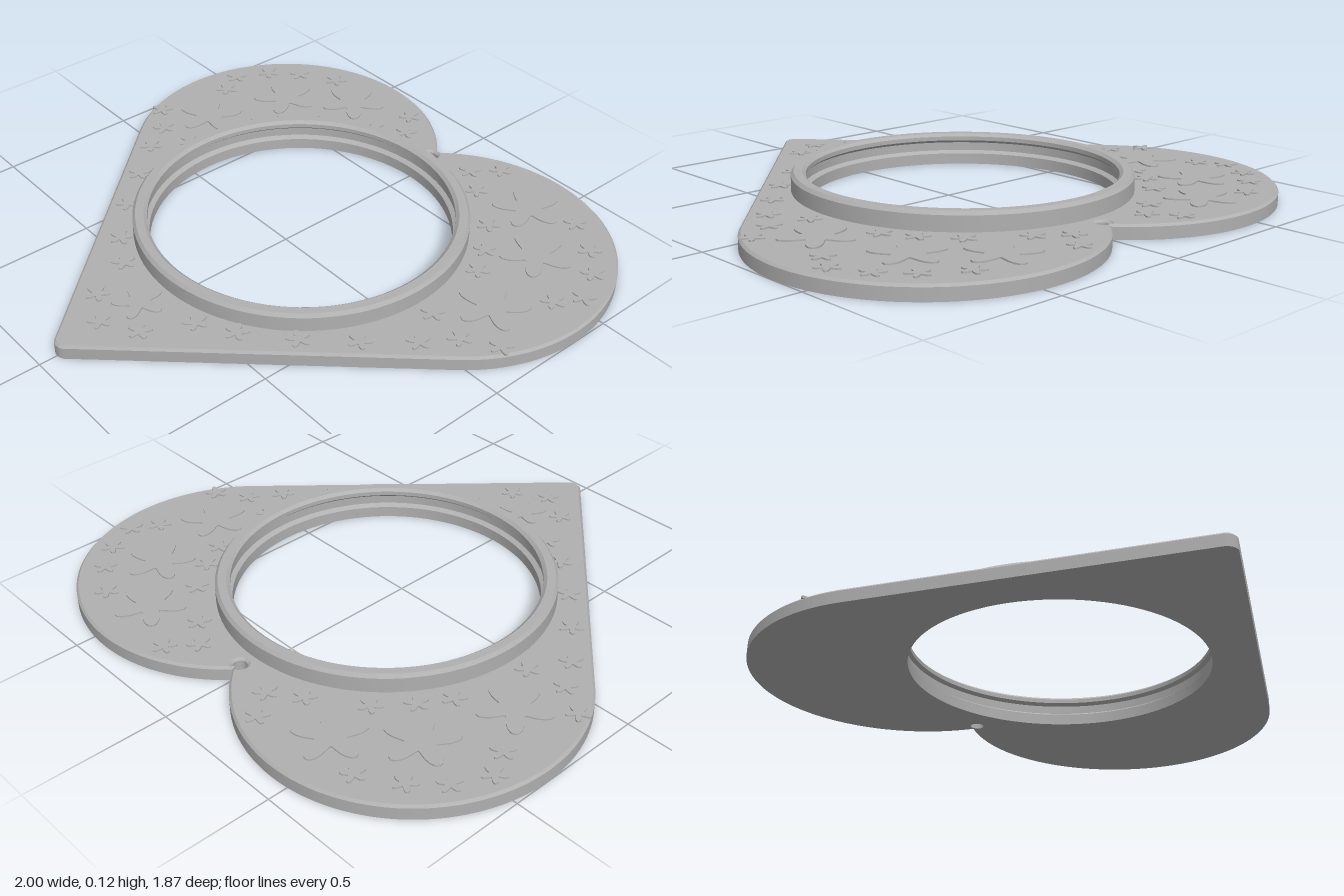
import * as THREE from 'three';
import { toCreasedNormals } from 'three/addons/utils/BufferGeometryUtils.js';

const RING_Z = -0.07;

export function createModel() {
  const group = new THREE.Group();
  const grey = new THREE.MeshStandardMaterial({ color: 0xb0b0b0 });
  grey.name = 'grey';

  const add = (name, geometry, x = 0, y = 0, z = 0) => {
    const mesh = new THREE.Mesh(toCreasedNormals(geometry, 0.5), grey);
    mesh.name = name;
    mesh.position.set(x, y, z);
    group.add(mesh);
  };

  // Heart outline: two round lobes and straight sides down to a blunt tip (shape y = -z)
  const lobeX = 0.43, lobeY = 0.365, lobeR = 0.57;
  const tangent = 0.738, cusp = Math.acos(lobeX / lobeR);
  const heart = new THREE.Shape();
  heart.moveTo(0.025, -0.927);
  heart.absarc(lobeX, lobeY, lobeR, -tangent, Math.PI - cusp, false);
  heart.absarc(-lobeX, lobeY, lobeR, cusp, Math.PI + tangent, false);
  heart.lineTo(-0.025, -0.927);
  heart.quadraticCurveTo(0, -0.943, 0.025, -0.927);

  // Round opening under the ring, and the hanging hole below the notch
  const opening = new THREE.Path().absarc(0, -RING_Z, 0.55, 0, Math.PI * 2, true);
  const hangingHole = new THREE.Path().absarc(0, 0.708, 0.025, 0, Math.PI * 2, true);
  heart.holes.push(opening, hangingHole);

  // Plate with a chamfered top edge and a square bottom edge
  const plate = new THREE.ExtrudeGeometry(heart, {
    depth: 0.042, curveSegments: 64, bevelEnabled: true, bevelSegments: 1,
    bevelSize: 0.008, bevelThickness: 0.008, bevelOffset: -0.008,
  });
  const pos = plate.attributes.position;
  for (let i = 0; i < pos.count; i++) pos.setZ(i, Math.max(0, pos.getZ(i)));
  plate.rotateX(-Math.PI / 2);
  add('heartPlate', plate);

  // Raised ring with a shallow groove around its inside
  const profile = [
    [0.56, 0], [0.56, 0.03], [0.585, 0.04], [0.585, 0.103], [0.575, 0.115], [0.546, 0.115],
    [0.534, 0.105], [0.534, 0.09], [0.546, 0.08], [0.546, 0.05], [0.53, 0.04], [0.53, 0], [0.56, 0],
  ].map(([r, y]) => new THREE.Vector2(r, y));
  add('ring', new THREE.LatheGeometry(profile, 96), 0, 0, RING_Z);

  // Rounded five-armed star, slightly raised from the plate
  const starGeometry = (radius, turn) => {
    const points = [];
    for (let i = 0; i < 60; i++) {
      const a = (i / 60) * Math.PI * 2;
      const r = radius * (0.7 + 0.3 * Math.cos(5 * a));
      points.push(new THREE.Vector2(r * Math.cos(a + turn), r * Math.sin(a + turn)));
    }
    const g = new THREE.ExtrudeGeometry(new THREE.Shape(points), { depth: 0.008, bevelEnabled: false });
    return g.rotateX(-Math.PI / 2);
  };
  const addStar = (name, x, z, radius, turn) => add(name, starGeometry(radius, turn), x, 0.047, z);

  // Large stars, mirrored on both lobes, and one near the tip
  const large = [[0.66, -0.55], [0.75, -0.24], [0.46, -0.73]];
  // Small stars scattered around them
  const small = [
    [0.24, -0.83], [0.17, -0.74], [0.27, -0.67], [0.63, -0.79], [0.76, -0.71], [0.85, -0.62],
    [0.91, -0.5], [0.86, -0.41], [0.9, -0.12], [0.79, -0.05], [0.65, -0.07], [0.59, -0.34],
    [0.53, -0.44], [0.44, -0.55], [0.72, 0.06], [0.6, 0.2], [0.47, 0.34], [0.32, 0.47],
    [0.2, 0.54], [0.12, 0.7],
  ];
  for (const side of [-1, 1]) {
    large.forEach(([x, z], i) => addStar('largeStar', side * x, z, 0.125, Math.PI / 2 + side * i * 0.5));
    small.forEach(([x, z], i) => addStar('smallStar', side * x, z, 0.042, Math.PI / 2 + side * i * 0.7));
  }
  addStar('tipStar', 0, 0.62, 0.09, Math.PI / 2);
  addStar('smallStar', 0, 0.77, 0.04, Math.PI / 2);

  return group;
}
